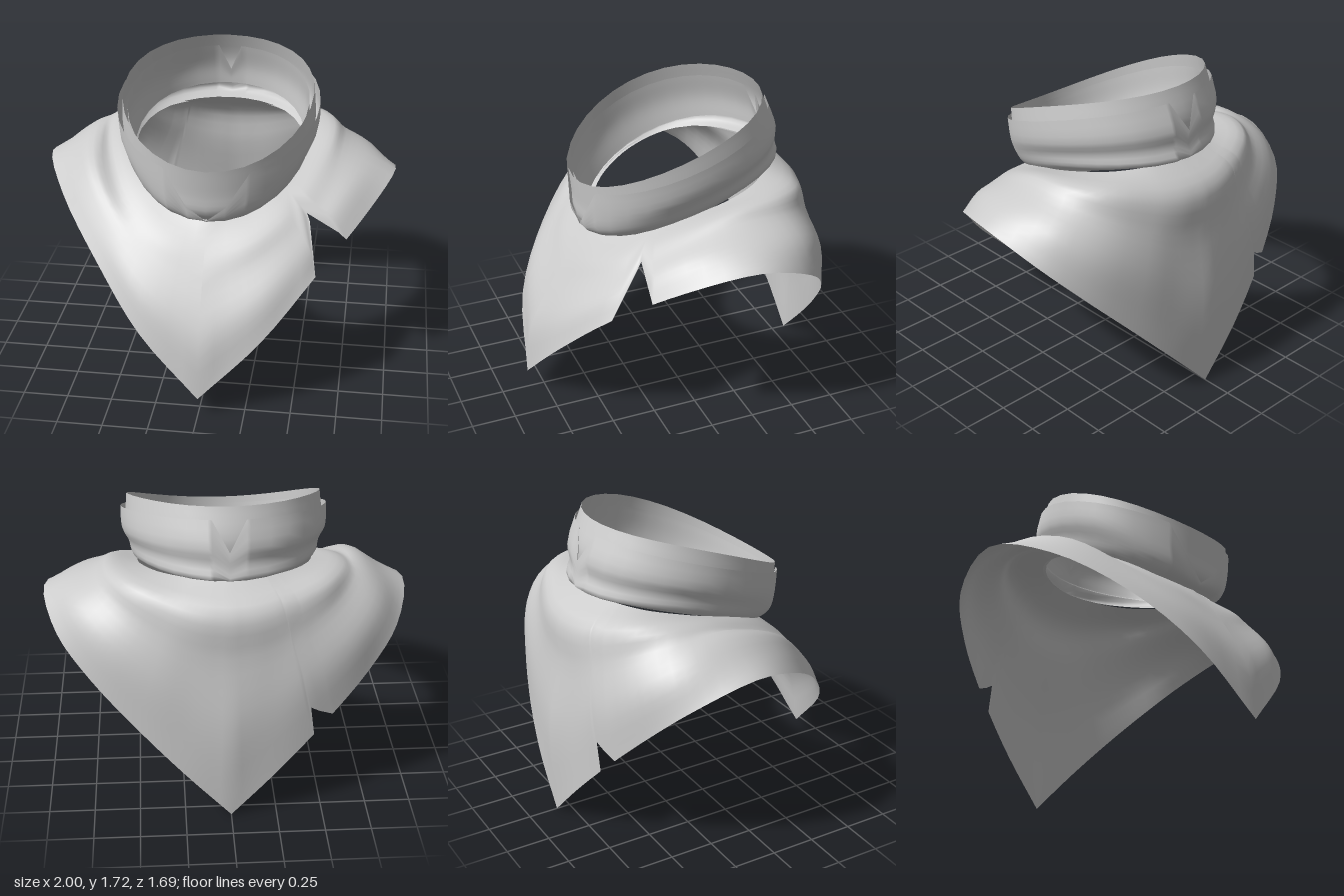
import * as THREE from 'three';
import { mergeVertices } from 'three/addons/utils/BufferGeometryUtils.js';

const V = (p) => new THREE.Vector3(...p);
const lerp = THREE.MathUtils.lerp;
const bump = (x, centre, width) => Math.exp(-(((x - centre) / width) ** 2));

// Smooth closed sheet from point(u, s): u runs around, s runs across (0..1)
function sheet(name, us, rows, point) {
  const pos = [], index = [], w = rows + 1;
  for (const u of us) for (let j = 0; j <= rows; j++) pos.push(...point(u, j / rows).toArray());
  for (let i = 0; i < us.length - 1; i++) {
    for (let j = 0; j < rows; j++) {
      const a = i * w + j, b = a + w;
      index.push(a, a + 1, b, b, a + 1, b + 1);
    }
  }
  let g = new THREE.BufferGeometry();
  g.setAttribute('position', new THREE.Float32BufferAttribute(pos, 3));
  g.setIndex(index);
  g = mergeVertices(g, 1e-4);
  g.computeVertexNormals();
  const mesh = new THREE.Mesh(g, new THREE.MeshStandardMaterial({ color: 0xcccccc, side: THREE.DoubleSide }));
  mesh.name = name;
  return mesh;
}

// 1 at the apex of a notch, falling to 0 at both ends
function wedge(u, lo, apex, hi) {
  if (u <= lo || u >= hi) return 0;
  return u < apex ? (u - lo) / (apex - lo) : (hi - u) / (hi - apex);
}

// Half rings of the cape from front centre round to back centre
const NECK = [[0, 1.0, .43], [.2, 1.04, .36], [.35, 1.11, .25], [.45, 1.19, .07], [.49, 1.25, -.13],
  [.46, 1.29, -.3], [.37, 1.31, -.44], [.22, 1.32, -.54], [.11, 1.32, -.57], [0, 1.32, -.58]];
const SHOULDER = [[0, .84, .565], [.24, .91, .51], [.43, 1.03, .36], [.56, 1.17, .13], [.635, 1.275, -.15],
  [.625, 1.3, -.38], [.52, 1.285, -.57], [.3, 1.23, -.69], [.15, 1.2, -.74], [0, 1.19, -.755]];
const FOLD = [[0, .7, .66], [.28, .82, .57], [.49, .96, .41], [.65, 1.13, .16], [.7, 1.235, -.15],
  [.69, 1.23, -.42], [.56, 1.16, -.61], [.35, 1.05, -.725], [.18, .98, -.765], [0, .95, -.78]];
const DRAPE = [[0, .42, .805], [.33, .65, .69], [.56, .87, .47], [.76, 1.09, .18], [.86, 1.17, -.15],
  [.83, 1.13, -.46], [.69, 1.0, -.65], [.43, .81, -.765], [.2, .64, -.81], [0, .54, -.845]];
const HEM = [[0, .11, .845], [.33, .44, .755], [.6, .74, .53], [.86, .99, .2], [1, 1.1, -.15],
  [.92, .97, -.48], [.75, .78, -.64], [.5, .52, -.75], [.25, .26, -.81], [0, 0, -.83]];

// One layer of the cape; inset pulls it inward, closing up again at the hem
function cape(name, inset) {
  const curves = [NECK, SHOULDER, FOLD, DRAPE, HEM].map((r) => new THREE.CatmullRomCurve3(r.map(V)));
  const us = [2.3, 2.55, 18 - 6.8, 18 - 7.15, 18 - 7.2];
  for (let u = 0; u <= 18; u += 0.25) us.push(u);
  us.sort((a, b) => a - b);
  return sheet(name, us, 16, (u, s) => {
    const left = u <= 9, h = left ? u : 18 - u;
    // torn notches in the hem: one at the front left, one at the back right
    const cut = left ? 0.55 * wedge(h, 2, 2.3, 2.55) : 0.13 * wedge(h, 6.8, 7.15, 7.2);
    const t = s * (1 - cut);
    const p = new THREE.CatmullRomCurve3(curves.map((c) => c.getPoint(h / 9))).getPoint(t);
    if (!left) {
      // soft fold running over the right shoulder
      p.x *= -1;
      p.y += bump(h, 3.4, 1.5) * (0.04 * bump(t, 0.58, 0.13) - 0.03 * bump(t, 0.28, 0.13));
    }
    const pull = inset * (1 - s ** 4);
    p.x *= 1 - pull;
    p.z *= 1 - pull;
    p.y -= pull * 0.6;
    return p;
  });
}

// Tilted collar ring: [half width, front z, back z, front y, back y, rise at the sides]
function ringPoint([hw, zf, zb, yf, yb, rise], a) {
  const k = (1 - Math.cos(a)) / 2;
  return new THREE.Vector3(hw * Math.sin(a), lerp(yf, yb, k) + rise * Math.sin(a) ** 2, lerp(zf, zb, k));
}

// Band through stacked rings, with V openings of given [half angle, depth] at front and back
function band(name, rings, frontV, backV) {
  const as = [];
  for (let i = 0; i <= 32; i++) as.push((i / 32) * Math.PI * 2);
  for (const [c, v] of [[0, frontV], [Math.PI, backV], [Math.PI * 2, frontV]]) {
    for (const sgn of [-1, 1]) {
      const a = c + sgn * v[0];
      if (v[1] > 0 && a > 0 && a < Math.PI * 2) as.push(a);
    }
  }
  as.sort((a, b) => a - b);
  return sheet(name, as, 12, (a, s) => {
    const d = Math.min(a, Math.PI * 2 - a);
    const cut = frontV[1] * Math.max(0, 1 - d / frontV[0])
      + backV[1] * Math.max(0, 1 - (Math.PI - d) / backV[0]);
    return new THREE.CatmullRomCurve3(rings.map((r) => ringPoint(r, a))).getPoint(s * (1 - cut));
  });
}

export function createModel() {
  const group = new THREE.Group();
  group.name = 'scarf';
  group.add(cape('cape', 0), cape('capeLining', 0.022));

  // outer fold of the collar, rolled under at the base, open in a V at front and back
  group.add(band('collarOuterFold', [
    [.48, .43, -.58, .995, 1.32, .07],
    [.51, .485, -.66, 1.01, 1.355, .09],
    [.525, .515, -.635, 1.05, 1.43, .085],
    [.56, .525, -.64, 1.16, 1.52, .06],
    [.565, .53, -.585, 1.29, 1.66, .045],
  ], [.43, .68], [.16, .3]));

  // taller inner layer
  const none = [1, 0];
  group.add(band('collarInnerLayer', [
    [.48, .44, -.6, 1.0, 1.41, .05],
    [.515, .5, -.61, 1.06, 1.46, .07],
    [.54, .51, -.61, 1.17, 1.56, .06],
    [.53, .525, -.55, 1.32, 1.72, .065],
  ], none, none));

  // lining inside, split at the back
  group.add(band('collarLining', [
    [.48, .43, -.59, 1.01, 1.41, .05],
    [.505, .48, -.58, 1.15, 1.52, .06],
    [.505, .5, -.535, 1.29, 1.66, .05],
  ], none, [.13, .6]));
  return group;
}
